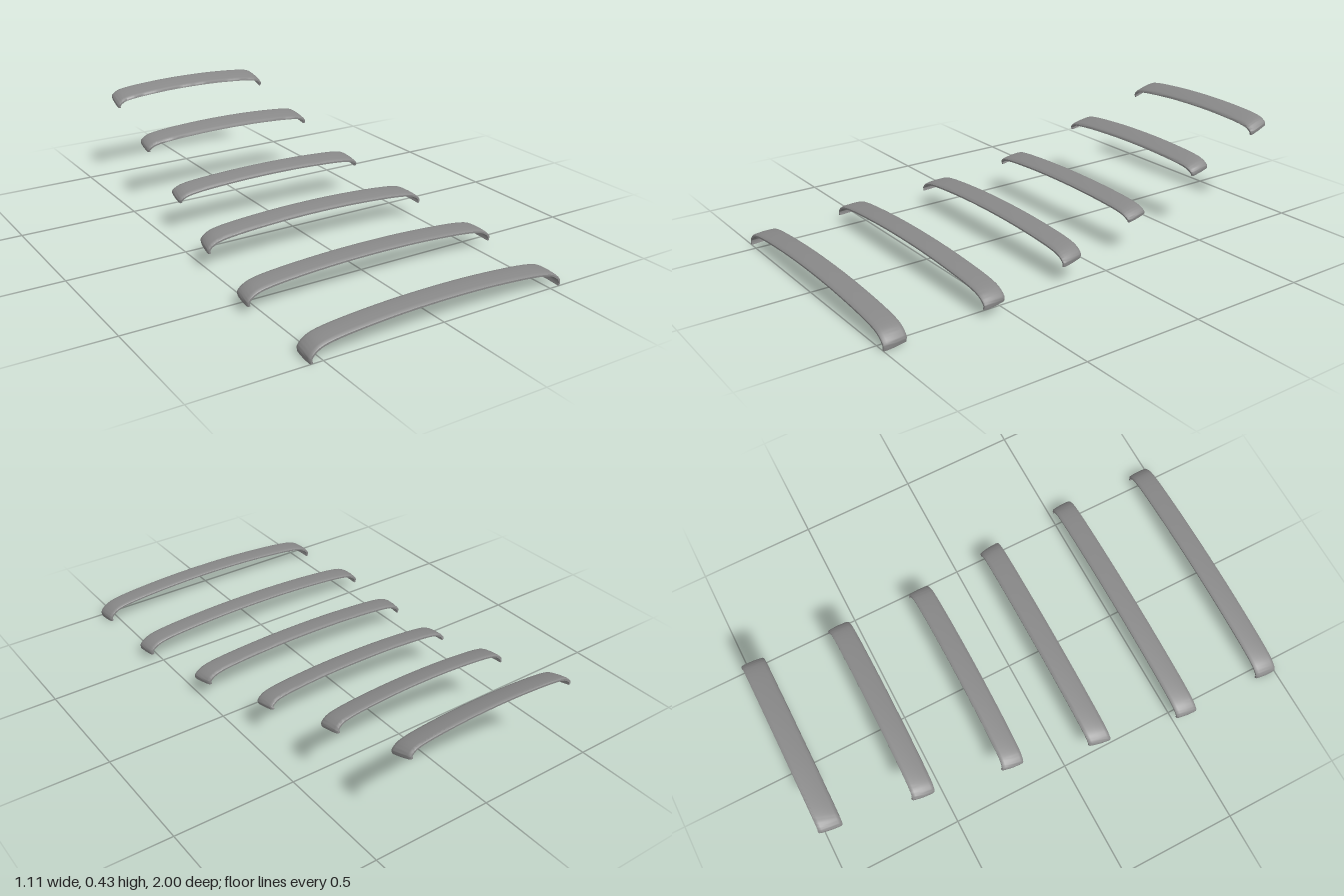
import * as THREE from 'three';
import { toCreasedNormals } from 'three/addons/utils/BufferGeometryUtils.js';

const THICKNESS = 0.012;

// Half outline of a slat: x as a share of half width, drop as a share of full drop
const half = [[0.3, 0.03], [0.6, 0.13], [0.8, 0.245], [0.9, 0.36], [0.96, 0.54], [0.995, 0.78], [0.993, 1]];
const outline = new THREE.CatmullRomCurve3([
  ...half.map(([x, d]) => new THREE.Vector3(-x, d, 0)).reverse(),
  new THREE.Vector3(0, 0, 0),
  ...half.map(([x, d]) => new THREE.Vector3(x, d, 0)),
], false, 'centripetal');

// Cross-section loop: [position from front to back, depth in thicknesses]
const section = [[0, 1], [0, 0.45], [0.04, 0.15], [0.15, 0], [0.5, -0.12], [0.85, 0], [0.96, 0.15], [1, 0.45], [1, 1], [0.5, 0.88]];

// front and back edges: z, y at the crown, y at the tips, half width; lean moves tips in z
const slats = [
  { front: [1.0, 0.096, 0.0, 0.556], back: [0.908, 0.101, 0.008, 0.551], lean: 0 },
  { front: [0.6, 0.118, 0.032, 0.56], back: [0.508, 0.123, 0.04, 0.552], lean: 0 },
  { front: [0.21, 0.149, 0.072, 0.51], back: [0.115, 0.159, 0.084, 0.494], lean: 0 },
  { front: [-0.152, 0.199, 0.137, 0.442], back: [-0.243, 0.213, 0.154, 0.434], lean: -0.015 },
  { front: [-0.528, 0.302, 0.241, 0.407], back: [-0.62, 0.323, 0.259, 0.4], lean: -0.013 },
  { front: [-0.9, 0.406, 0.342, 0.381], back: [-0.993, 0.43, 0.371, 0.375], lean: -0.007 },
];

function slatGeometry({ front, back, lean }) {
  const steps = 64, n = section.length;
  const positions = [], index = [];
  for (let i = 0; i <= steps; i++) {
    const p = outline.getPoint(i / steps), t = outline.getTangent(i / steps);
    for (const [s, depth] of section) {
      const [z, crown, tip, width] = front.map((f, k) => THREE.MathUtils.lerp(f, back[k], s));
      const drop = crown - tip;
      // inward normal of the scaled outline
      const dx = t.x * width, dy = -t.y * drop, len = Math.hypot(dx, dy);
      const off = depth * THICKNESS / len;
      positions.push(p.x * width + dy * off, crown - p.y * drop - dx * off, z + lean * p.y);
    }
  }
  for (let i = 0; i < steps; i++) {
    for (let j = 0; j < n; j++) {
      const a = i * n + j, b = i * n + (j + 1) % n;
      index.push(a, a + n, b + n, a, b + n, b);
    }
  }
  // end caps, joining the outer edge to the inner edge in strips
  const e = steps * n;
  for (let j = 1; j < n - 2; j++) {
    index.push(n - 1, j, j + 1, e + n - 1, e + j + 1, e + j);
  }
  index.push(n - 1, 0, 1, e + n - 1, e + 1, e);
  index.push(n - 1, n - 3, n - 2, e + n - 1, e + n - 2, e + n - 3);
  const geometry = new THREE.BufferGeometry();
  geometry.setAttribute('position', new THREE.Float32BufferAttribute(positions, 3));
  geometry.setIndex(index);
  return toCreasedNormals(geometry, 0.7);
}

export function createModel() {
  const group = new THREE.Group();
  group.name = 'curvedSlats';
  const grey = new THREE.MeshStandardMaterial({ color: 0x888888, side: THREE.DoubleSide });
  grey.name = 'grey';
  slats.forEach((slat, i) => {
    const mesh = new THREE.Mesh(slatGeometry(slat), grey);
    mesh.name = `slat${i + 1}`;
    group.add(mesh);
  });
  return group;
}
